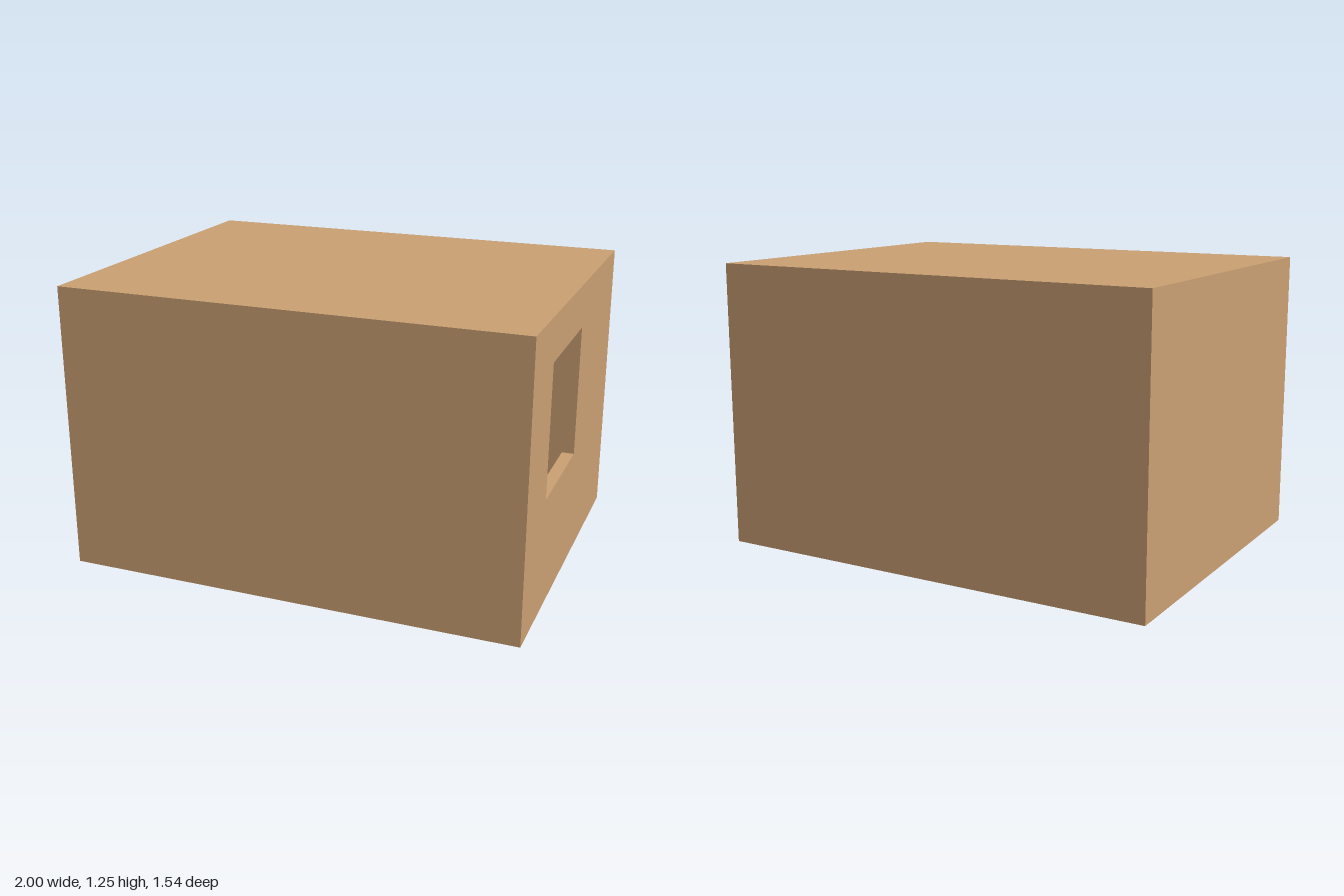
import * as THREE from 'three';

const W = 2, D = 1.54, H = 1.25, T = 0.053, ROOF = 0.005;
const tan = new THREE.MeshStandardMaterial({ color: 0xcaa073 });
const brown = new THREE.MeshStandardMaterial({ color: 0x633a28 });

function add(group, name, geometry, material, x, y, z, turn = 0) {
  const mesh = new THREE.Mesh(geometry, material);
  mesh.name = name;
  mesh.position.set(x, y, z);
  mesh.rotation.y = turn;
  group.add(mesh);
}

function rectangle(path, x0, x1, y0, y1) {
  return path.moveTo(x0, y0).lineTo(x1, y0).lineTo(x1, y1).lineTo(x0, y1).closePath();
}

// Wall panel with its outer face at z = 0 and mitred ends, so the corners join cleanly
function wallPanel(length, opening) {
  const shape = rectangle(new THREE.Shape(), -length / 2, length / 2, 0, H - ROOF);
  if (opening) shape.holes.push(rectangle(new THREE.Path(), ...opening));
  const geometry = new THREE.ExtrudeGeometry(shape, { depth: T, bevelEnabled: false });
  geometry.translate(0, 0, -T);
  const p = geometry.attributes.position;
  for (let i = 0; i < p.count; i++) {
    const x = p.getX(i);
    if (p.getZ(i) < -T / 2 && Math.abs(x) > length / 2 - 0.001) p.setX(i, x - Math.sign(x) * T);
  }
  geometry.computeVertexNormals();
  return geometry;
}

export function createModel() {
  const room = new THREE.Group();
  room.name = 'room';

  // Outer walls; one side wall has the window opening
  add(room, 'frontWall', wallPanel(W), tan, 0, 0, D / 2);
  add(room, 'backWall', wallPanel(W), tan, 0, 0, -D / 2, Math.PI);
  add(room, 'windowWall', wallPanel(D, [-0.45, 0.08, 0.49, 1.06]), tan, W / 2, 0, 0, Math.PI / 2);
  add(room, 'plainSideWall', wallPanel(D), tan, -W / 2, 0, 0, -Math.PI / 2);

  // Thin flat roof and the floor set between the walls
  add(room, 'roof', new THREE.BoxGeometry(W, ROOF, D), tan, 0, H - ROOF / 2, 0);
  add(room, 'floor', new THREE.BoxGeometry(W - 2 * T, 0.006, D - 2 * T), brown, 0, 0.003, 0);

  // Inner partitions: [name, x, z start, z end]
  const inner = D / 2 - T;
  for (const [name, x, z0, z1] of [
    ['frontPartition', 0.18, 0.305, inner],
    ['backPartition', 0.68, -inner, -0.305],
  ]) {
    const geometry = new THREE.BoxGeometry(T, H - ROOF - 0.006, z1 - z0);
    add(room, name, geometry, tan, x, (H - ROOF + 0.006) / 2, (z0 + z1) / 2);
  }
  return room;
}
